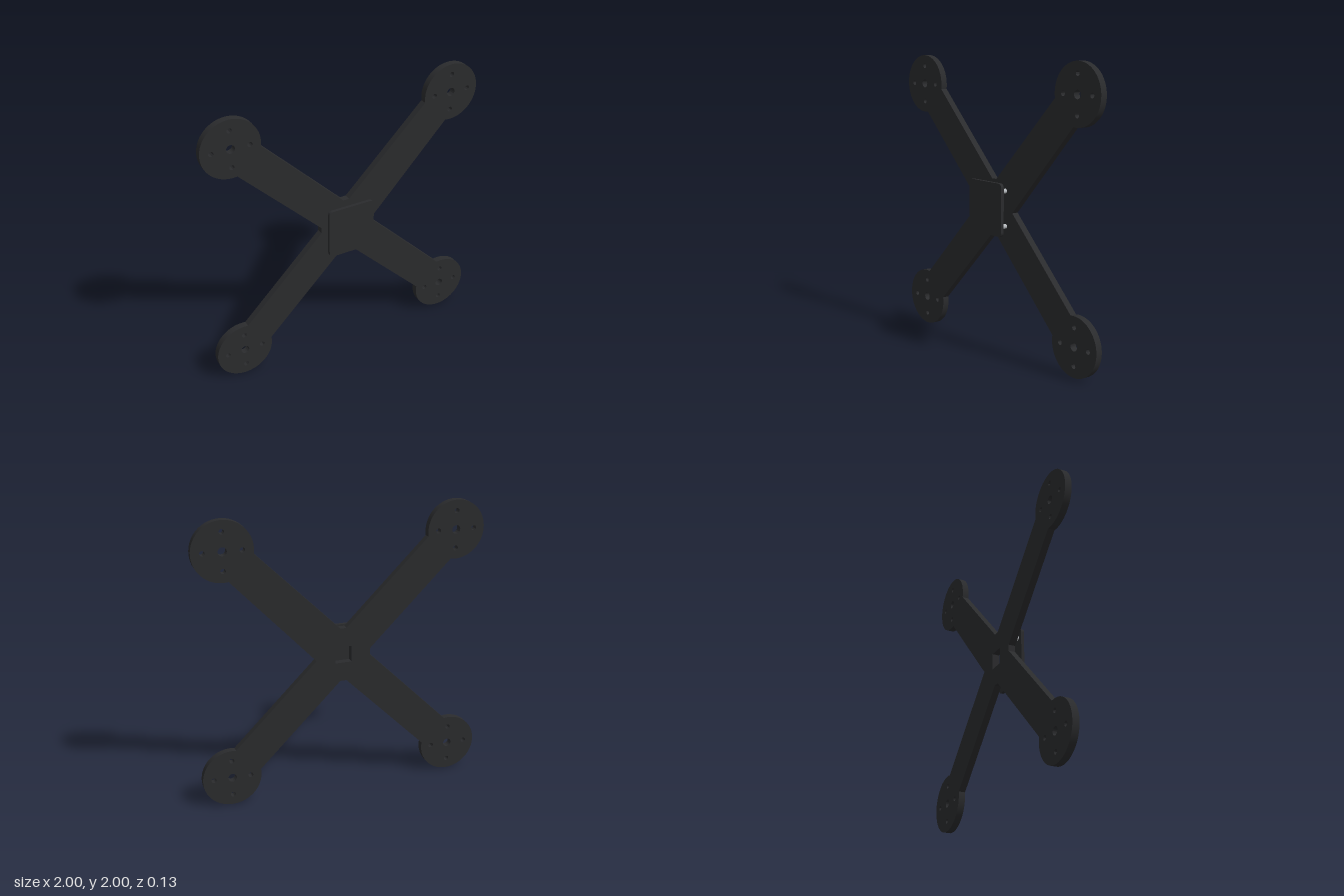
import * as THREE from 'three';
import { toCreasedNormals } from 'three/addons/utils/BufferGeometryUtils.js';

const BACK = -0.063, FRAME_T = 0.047, PLATE_Z = 0.041, PLATE_T = 0.022;

function circleHole(x, y, r) {
  const p = new THREE.Path();
  p.absarc(x, y, r, 0, Math.PI * 2, true);
  return p;
}

function extrude(shape, depth, z, material, name) {
  const geo = new THREE.ExtrudeGeometry(shape, { depth, bevelEnabled: false, curveSegments: 32 });
  const mesh = new THREE.Mesh(toCreasedNormals(geo, 0.6), material);
  mesh.position.set(0, 1, z);
  mesh.name = name;
  return mesh;
}

// X-shaped plate: four arms ending in round motor mounts, drilled
function frameShape() {
  const shape = new THREE.Shape();
  const m = 0.797, r = 0.203, halfArm = 0.119;
  const beta = Math.asin(halfArm / r);
  const hub = [new THREE.Vector2(0.19, 0.022), new THREE.Vector2(0.022, 0.19)];
  const origin = new THREE.Vector2();
  for (let k = 0; k < 4; k++) {
    const turn = k * Math.PI / 2, a = turn + Math.PI / 4;
    const [p, q] = hub.map(v => v.clone().rotateAround(origin, turn));
    if (k === 0) shape.moveTo(p.x, p.y); else shape.lineTo(p.x, p.y);
    const cx = m * Math.SQRT2 * Math.cos(a), cy = m * Math.SQRT2 * Math.sin(a);
    shape.absarc(cx, cy, r, a - Math.PI + beta, a + Math.PI - beta, false);
    shape.lineTo(q.x, q.y);
    // shaft hole and four screw holes
    shape.holes.push(circleHole(cx, cy, 0.029));
    for (let i = 0; i < 4; i++) {
      const t = i * Math.PI / 2;
      shape.holes.push(circleHole(cx + 0.128 * Math.cos(t), cy + 0.128 * Math.sin(t), 0.017));
    }
  }
  shape.closePath();
  // square window in the centre
  const w = 0.057;
  shape.holes.push(new THREE.Path([[-w, -w], [-w, w], [w, w], [w, -w]].map(c => new THREE.Vector2(...c))));
  return shape;
}

function roundedRect(w, h, r) {
  const s = new THREE.Shape(), x = w / 2 - r, y = h / 2 - r;
  [[x, y], [-x, y], [-x, -y], [x, -y]].forEach(([cx, cy], i) =>
    s.absarc(cx, cy, r, i * Math.PI / 2, (i + 1) * Math.PI / 2, false));
  s.closePath();
  return s;
}

export function createModel() {
  const model = new THREE.Group();
  model.name = 'droneFrame';
  const carbon = new THREE.MeshStandardMaterial({ color: 0x2a2b2d });
  const metal = new THREE.MeshStandardMaterial({ color: 0xb4b8bc });

  model.add(extrude(frameShape(), FRAME_T, BACK, carbon, 'armFrame'));
  model.add(extrude(roundedRect(0.34, 0.36, 0.03), PLATE_T, PLATE_Z, carbon, 'coverPlate'));

  // Standoffs between frame and cover plate
  const front = BACK + FRAME_T, len = PLATE_Z - front;
  const post = new THREE.CylinderGeometry(0.016, 0.016, len, 20).rotateX(Math.PI / 2);
  for (const x of [-0.12, 0.12]) for (const y of [-0.12, 0.12]) {
    const mesh = new THREE.Mesh(post, metal);
    mesh.position.set(x, 1 + y, front + len / 2);
    mesh.name = 'standoff';
    model.add(mesh);
  }
  return model;
}
